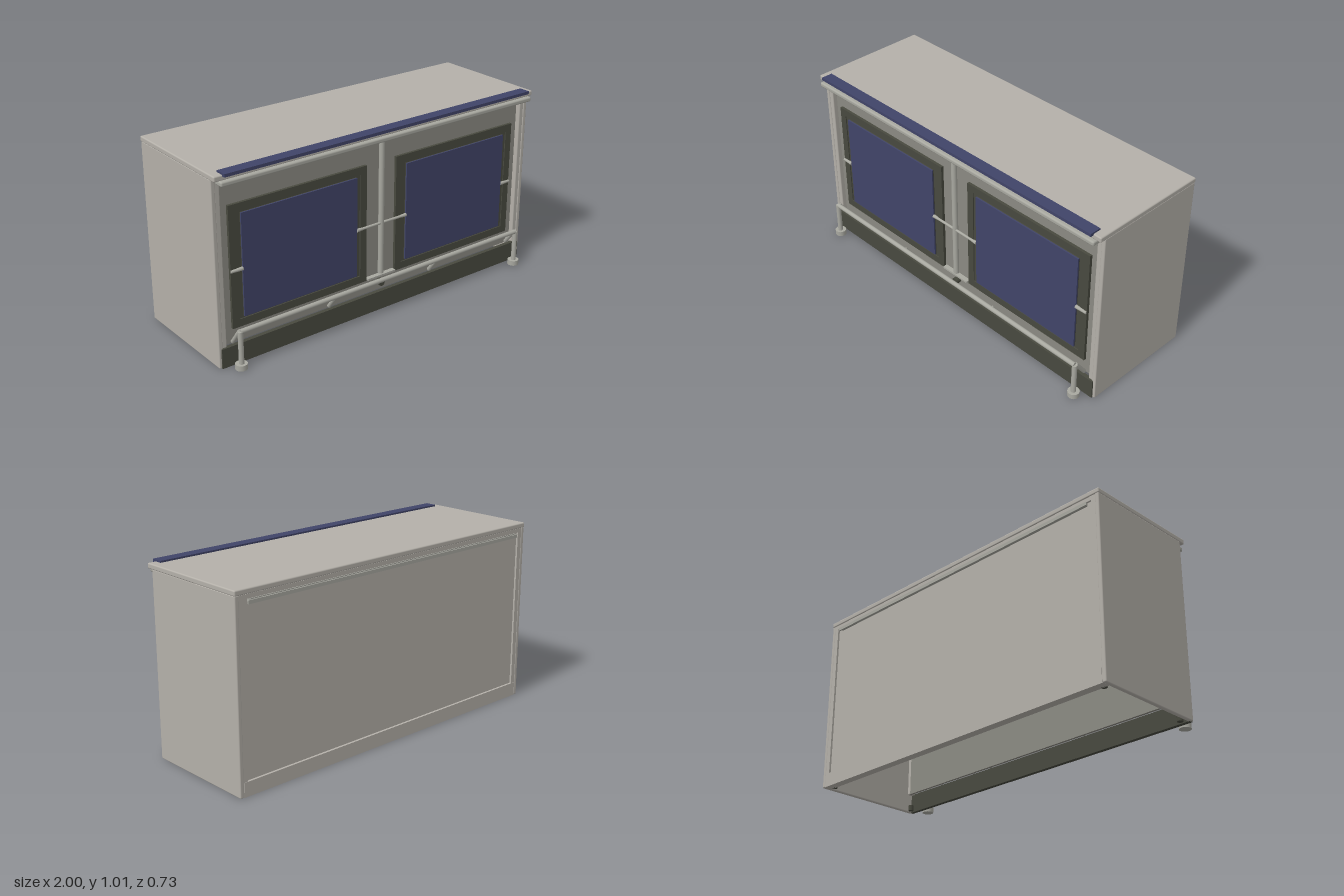
import * as THREE from 'three';
import { RoundedBoxGeometry } from 'three/addons/geometries/RoundedBoxGeometry.js';

const paint = (name, color) => {
  const m = new THREE.MeshStandardMaterial({ color });
  m.name = name;
  return m;
};

export function createModel() {
  const model = new THREE.Group();
  model.name = 'counter';
  const cabinetGrey = paint('cabinet grey', 0xb4b0a9);
  const panelGrey = paint('panel grey', 0x8b8a82);
  const steel = paint('steel', 0xa8a8a0);
  const charcoal = paint('charcoal', 0x48493f);
  const navy = paint('navy', 0x404468);

  const add = (name, geo, mat) => {
    const mesh = new THREE.Mesh(geo, mat);
    mesh.name = name;
    model.add(mesh);
    return mesh;
  };
  // Box given by its limits on each axis, optionally rounded
  const box = (name, mat, [x0, x1], [y0, y1], [z0, z1], r = 0) => {
    const s = [x1 - x0, y1 - y0, z1 - z0];
    const geo = r ? new RoundedBoxGeometry(...s, 2, r) : new THREE.BoxGeometry(...s);
    add(name, geo, mat).position.set((x0 + x1) / 2, (y0 + y1) / 2, (z0 + z1) / 2);
  };
  // Round bar between two points
  const bar = (name, mat, a, b, r0, r1 = r0) => {
    const p = new THREE.Vector3(...a), q = new THREE.Vector3(...b);
    const d = q.clone().sub(p);
    const mesh = add(name, new THREE.CylinderGeometry(r1, r0, d.length(), 16), mat);
    mesh.position.copy(p).add(q).multiplyScalar(0.5);
    mesh.quaternion.setFromUnitVectors(new THREE.Vector3(0, 1, 0), d.normalize());
  };
  // Rectangular ring facing +z
  const ring = (name, mat, cx, cy, w, h, border, z0, depth) => {
    const rect = (P, a, b) => new P([[-a, -b], [a, -b], [a, b], [-a, b]].map(p => new THREE.Vector2(...p)));
    const shape = rect(THREE.Shape, w / 2, h / 2);
    shape.holes.push(rect(THREE.Path, w / 2 - border, h / 2 - border));
    const geo = new THREE.ExtrudeGeometry(shape, { depth, bevelEnabled: false });
    add(name, geo, mat).position.set(cx, cy, z0);
  };

  // Carcass, open underneath
  for (const s of [-1, 1]) {
    const span = (a, b) => s > 0 ? [a, b] : [-b, -a];
    box('sidePanel', cabinetGrey, span(0.975, 0.998), [0, 0.975], [-0.355, 0.28], 0.006);
    box('frontPost', cabinetGrey, span(0.95, 0.98), [0.1, 0.97], [0.235, 0.276], 0.006);
    box('backPost', cabinetGrey, span(0.95, 0.98), [0, 0.97], [-0.353, -0.31]);
  }
  box('worktop', cabinetGrey, [-1, 1], [0.972, 1], [-0.357, 0.313], 0.007);
  box('frontPanel', panelGrey, [-0.96, 0.96], [0.1, 0.972], [0.235, 0.25]);
  box('frontHeader', cabinetGrey, [-0.96, 0.96], [0.94, 0.972], [0.25, 0.278]);
  box('kickPlate', charcoal, [-0.985, 0.985], [0, 0.105], [0.265, 0.287]);

  // Worktop front rail and display strip
  box('frontRail', steel, [-0.975, 0.975], [0.948, 0.974], [0.275, 0.333], 0.009);
  box('displayStrip', navy, [-0.955, 0.955], [0.993, 1.009], [0.268, 0.331]);

  // Back side
  box('backPanel', cabinetGrey, [-0.96, 0.96], [0.06, 0.972], [-0.342, -0.325]);
  box('backBottomRail', cabinetGrey, [-0.975, 0.975], [0, 0.075], [-0.355, -0.31]);
  box('backTopRail', cabinetGrey, [-0.975, 0.975], [0.95, 0.972], [-0.353, -0.33]);
  box('backHandle', steel, [-0.93, 0.93], [0.927, 0.945], [-0.365, -0.358]);
  box('backHandleBase', steel, [-0.92, 0.92], [0.933, 0.95], [-0.358, -0.34]);

  // Two framed windows
  for (const x of [-0.5, 0.5]) {
    ring('windowOuterFrame', charcoal, x, 0.5, 0.81, 0.64, 0.04, 0.248, 0.017);
    ring('windowInnerFrame', charcoal, x, 0.5, 0.74, 0.6, 0.05, 0.248, 0.011);
    box('windowPane', navy, [x - 0.34, x + 0.34], [0.23, 0.77], [0.263, 0.271]);
    box('windowBacking', charcoal, [x - 0.34, x + 0.34], [0.23, 0.77], [0.249, 0.263]);
  }

  // Cross bar segments, tapering into the windows
  const y = 0.485, z = 0.268;
  bar('crossBar', steel, [-0.16, y, z], [0.16, y, z], 0.007);
  for (const s of [-1, 1]) {
    bar('crossBarEnd', steel, [s * 0.84, y, z], [s * 0.905, y, z], 0.01, 0.007);
    bar('crossBarSleeve', steel, [s * 0.16, y, z], [s * 0.12, y, z], 0.01, 0.007);
  }
  // Centre upright with its foot
  bar('upright', steel, [0, 0.2, 0.264], [0, 0.925, 0.264], 0.015);
  box('uprightFoot', steel, [-0.09, 0.09], [0.183, 0.193], [0.25, 0.276]);
  bar('uprightKnob', charcoal, [0, 0.145, 0.25], [0, 0.145, 0.278], 0.018);

  // Foot rail with posts and braces
  bar('footRail', steel, [-0.91, 0.2, 0.336], [0.91, 0.2, 0.336], 0.0125);
  for (const s of [-1, 1]) {
    const x = s * 0.91;
    bar('footRailPost', steel, [x, 0.02, 0.336], [x, 0.2, 0.336], 0.0135);
    bar('footRailFoot', steel, [x, 0, 0.334], [x, 0.028, 0.334], 0.031);
    for (const bx of [0.335, 0.91]) {
      bar('footRailBrace', steel, [s * bx, 0.2, 0.33], [s * bx, 0.115, 0.265], 0.011);
    }
    // Levelling feet inside the corners
    for (const fz of [-0.31, 0.24]) bar('levelFoot', charcoal, [s * 0.95, 0, fz], [s * 0.95, 0.03, fz], 0.015);
  }
  return model;
}
